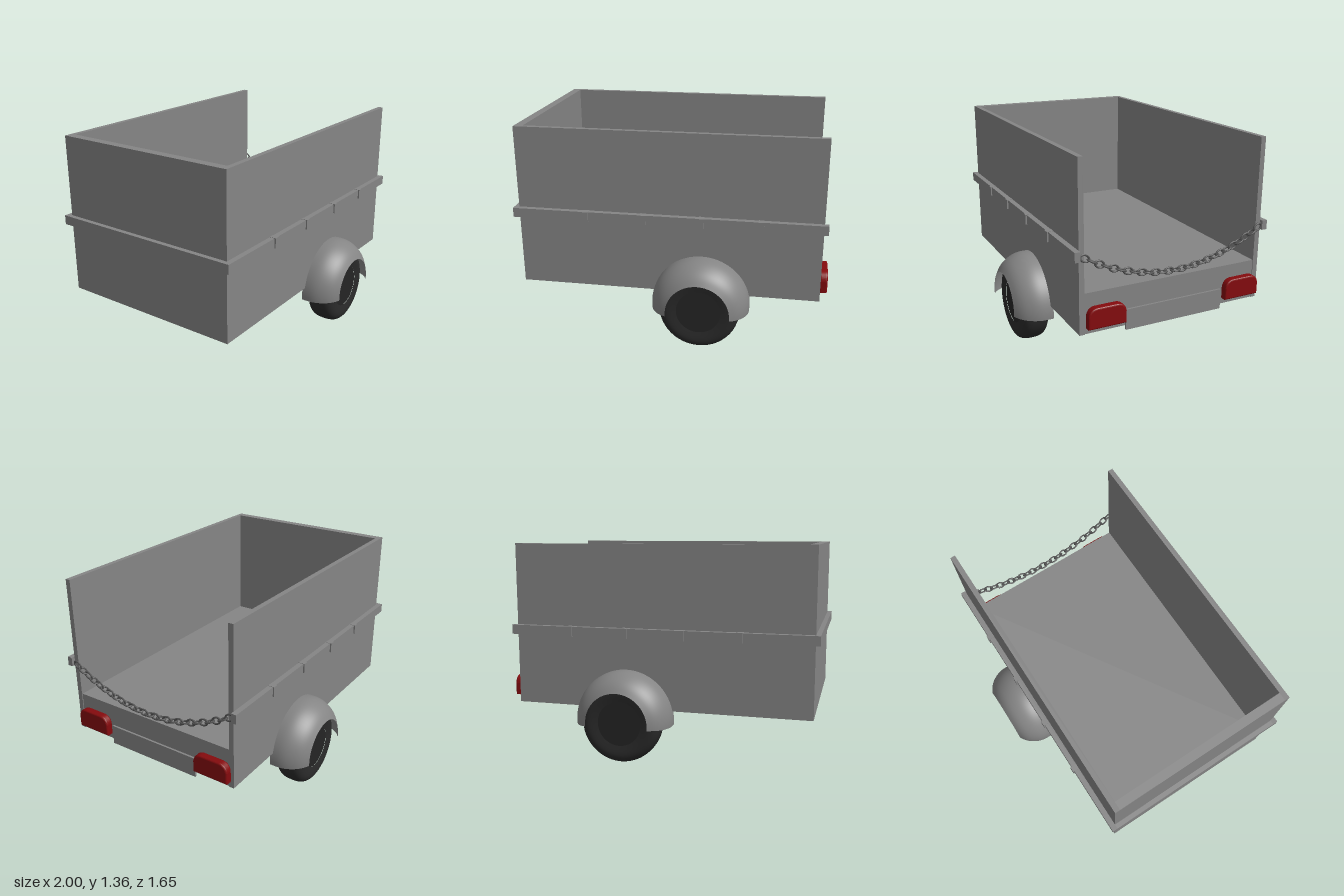
import * as THREE from 'three';

const mat = (name, color, side = THREE.FrontSide) => {
  const m = new THREE.MeshStandardMaterial({ color, side });
  m.name = name;
  return m;
};

export function createModel() {
  const root = new THREE.Group();
  root.name = 'trailer';
  const grey = mat('panel grey', 0x858585);
  const fenderGrey = mat('fender grey', 0x858585, THREE.DoubleSide);
  const rubber = mat('tyre black', 0x2a2a2a);
  const hubDark = mat('hub black', 0x252525);
  const steel = mat('chain steel', 0x555555);
  const red = mat('lamp red', 0x850b0e);

  const add = (name, geo, material, parent = root) => {
    const mesh = new THREE.Mesh(geo, material);
    mesh.name = name;
    parent.add(mesh);
    return mesh;
  };
  // Box given by its minimum and maximum corners
  const box = (name, [x0, y0, z0], [x1, y1, z1], material = grey) => {
    const m = add(name, new THREE.BoxGeometry(x1 - x0, y1 - y0, z1 - z0), material);
    m.position.set((x0 + x1) / 2, (y0 + y1) / 2, (z0 + z1) / 2);
    return m;
  };

  // Cargo box: solid floor, end wall and two sides, open at the rear
  box('floor', [-0.92, 0.32, -0.586], [0.945, 0.573, 0.586]);
  box('endWall', [-0.97, 0.32, -0.586], [-0.915, 1.362, 0.586]);
  for (const s of [1, -1]) {
    const z = (a, b) => [Math.min(s * a, s * b), Math.max(s * a, s * b)];
    const [w0, w1] = z(0.585, 0.618);
    box('sideWall', [-0.97, 0.32, w0], [0.95, 1.362, w1]);
    // Rub rail with its clamps
    const [r0, r1] = z(0.617, 0.652);
    box('sideRail', [-1, 0.778, r0], [0.975, 0.838, r1]);
    const [c0, c1] = z(0.617, 0.661);
    for (let i = 0; i < 4; i++) {
      const x = -0.525 + i * 0.366;
      box('railClamp', [x - 0.018, 0.776, c0], [x + 0.018, 0.84, c1]);
    }
  }
  box('endRail', [-1, 0.778, -0.618], [-0.969, 0.838, 0.618]);

  // Number plate, left blank
  box('plate', [0.945, 0.295, -0.342], [0.958, 0.425, 0.322]);

  // Wheels with domed fenders
  const tyreProfile = new THREE.SplineCurve([
    [0.14, -0.08], [0.195, -0.088], [0.23, -0.078], [0.25, -0.05], [0.255, 0],
    [0.25, 0.05], [0.23, 0.078], [0.195, 0.088], [0.14, 0.08],
  ].map(([r, h]) => new THREE.Vector2(r, h))).getPoints(32);
  const tyreGeo = new THREE.LatheGeometry(tyreProfile, 48).rotateX(Math.PI / 2);
  const hubGeo = new THREE.CylinderGeometry(0.142, 0.142, 0.154, 40).rotateX(Math.PI / 2);
  const fenderProfile = new THREE.SplineCurve([
    [0.31, 0.6], [0.31, 0.665], [0.298, 0.715], [0.272, 0.763], [0.24, 0.797], [0.2, 0.823],
  ].map(([r, h]) => new THREE.Vector2(r, h))).getPoints(20);
  const cut = THREE.MathUtils.degToRad(84.5);
  const fenderGeo = new THREE.LatheGeometry(fenderProfile, 40, cut, 2 * (Math.PI - cut))
    .rotateX(Math.PI / 2);
  for (const turn of [0, Math.PI]) {
    const side = new THREE.Group();
    side.name = turn ? 'rightWheel' : 'leftWheel';
    side.position.set(0.208, 0, 0);
    side.rotation.y = turn;
    root.add(side);
    add('tyre', tyreGeo, rubber, side).position.set(0, 0.256, 0.683);
    add('hub', hubGeo, hubDark, side).position.set(0, 0.256, 0.683);
    add('fender', fenderGeo, fenderGrey, side).position.y = 0.262;
  }

  // Tail lamps: rounded upper corners and a bevelled lens
  const lamp = new THREE.Shape();
  lamp.moveTo(-0.112, 0);
  lamp.lineTo(0.112, 0);
  lamp.lineTo(0.112, 0.065);
  lamp.quadraticCurveTo(0.105, 0.108, 0.065, 0.11);
  lamp.lineTo(-0.065, 0.11);
  lamp.quadraticCurveTo(-0.105, 0.108, -0.112, 0.065);
  lamp.closePath();
  const lampGeo = new THREE.ExtrudeGeometry(lamp, {
    depth: 0.03, bevelEnabled: true, bevelThickness: 0.01, bevelSize: 0.01,
    bevelSegments: 3, curveSegments: 10,
  }).rotateY(Math.PI / 2);
  for (const z of [0.457, -0.476]) {
    add('tailLamp', lampGeo, red).position.set(0.955, 0.371, z);
  }

  // Sagging chain of alternately turned oval links
  const chain = new THREE.Group();
  chain.name = 'chain';
  root.add(chain);
  const linkGeo = new THREE.TorusGeometry(0.02, 0.0055, 8, 18).scale(1.45, 1, 1);
  const count = 27;
  const sag = 0.18 / 0.6 ** 2;
  for (let i = 0; i < count; i++) {
    const z = 0.585 - (i / (count - 1)) * 1.18;
    const link = add('chainLink', linkGeo, steel, chain);
    link.position.set(0.958, 0.618 + sag * z * z, z);
    // Long axis follows the curve, every other link lies flat
    link.rotation.order = 'YZX';
    link.rotation.set(i % 2 ? Math.PI / 2 : 0, Math.PI / 2, Math.atan(-2 * sag * z));
  }
  return root;
}
